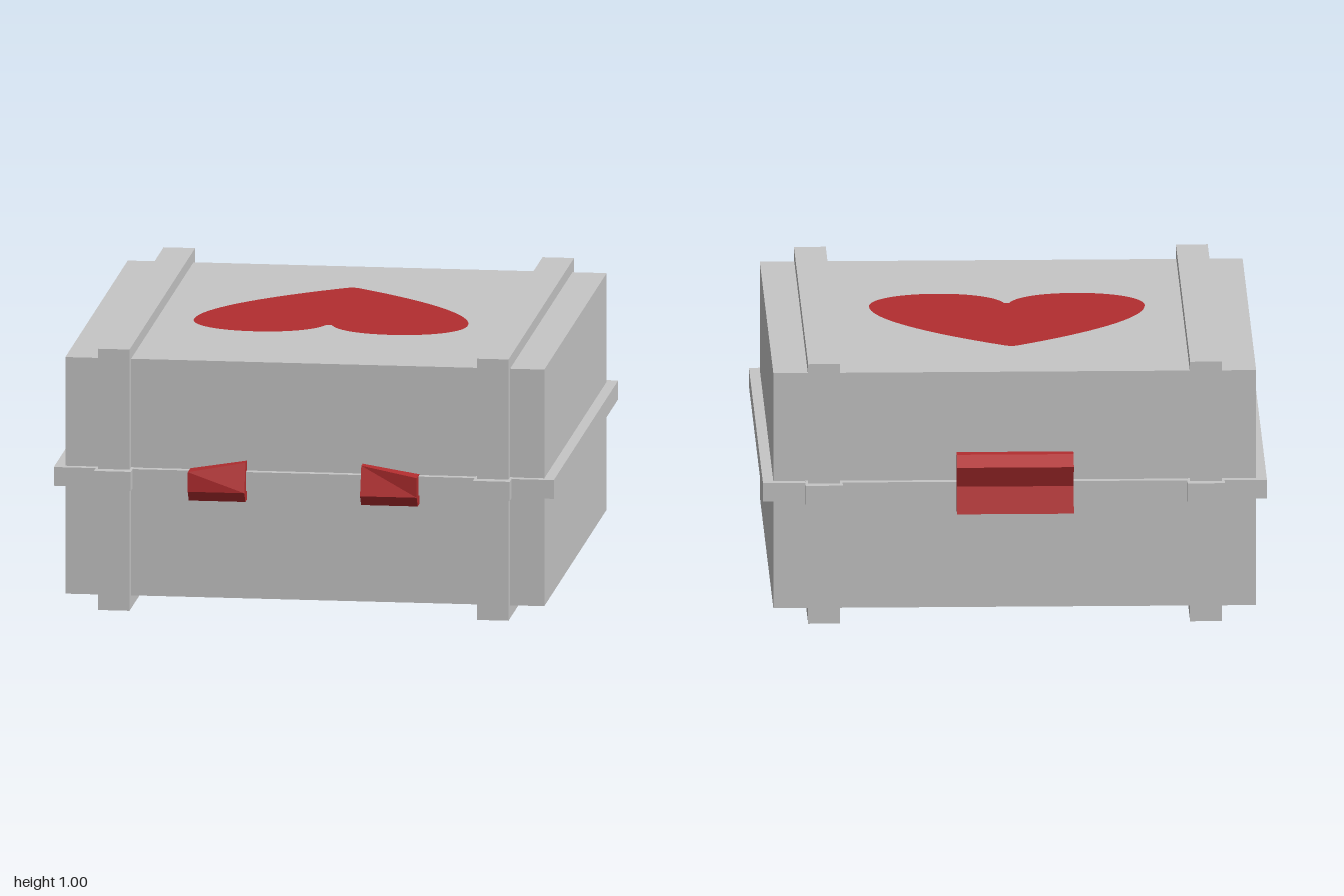
import * as THREE from 'three';

const grey = new THREE.MeshStandardMaterial({ color: 0xc6c6c6 });
grey.name = 'box grey';
const red = new THREE.MeshStandardMaterial({ color: 0xb22d2f });
red.name = 'heart red';

// Box given by its limits on each axis
function block(name, x0, x1, y0, y1, z0, z1) {
  const mesh = new THREE.Mesh(new THREE.BoxGeometry(x1 - x0, y1 - y0, z1 - z0), grey);
  mesh.position.set((x0 + x1) / 2, (y0 + y1) / 2, (z0 + z1) / 2);
  mesh.name = name;
  return mesh;
}

// Flat-faced solid between two [z, y] sections at x0 < x1
function loft(name, x0, secA, x1, secB) {
  const a = secA.map(([z, y]) => [x0, y, z]);
  const b = secB.map(([z, y]) => [x1, y, z]);
  const n = a.length, pos = [];
  const tri = (...pts) => pts.forEach((p) => pos.push(...p));
  for (let i = 0; i < n; i++) {
    const j = (i + 1) % n;
    tri(a[i], a[j], b[j]);
    tri(a[i], b[j], b[i]);
  }
  for (let i = 1; i < n - 1; i++) {
    tri(b[0], b[i], b[i + 1]);
    tri(a[0], a[i + 1], a[i]);
  }
  const geo = new THREE.BufferGeometry();
  geo.setAttribute('position', new THREE.Float32BufferAttribute(pos, 3));
  geo.computeVertexNormals();
  const mesh = new THREE.Mesh(geo, red);
  mesh.name = name;
  return mesh;
}

export function createModel() {
  const model = new THREE.Group();
  model.name = 'heartBox';

  // Body and the rim around its middle
  model.add(block('body', -0.91, 0.91, 0.05, 0.96, -0.91, 0.91));
  model.add(block('rim', -0.95, 0.95, 0.47, 0.542, -0.94, 0.94));

  // Straps around the box, each with a thicker band at the rim
  for (const s of [-1, 1]) {
    const side = s > 0 ? 'left' : 'right';
    const x = 0.72 * s;
    model.add(block(side + 'Strap', x - 0.06, x + 0.06, 0, 1.005, -0.957, 0.957));
    model.add(block(side + 'StrapBand', x - 0.07, x + 0.07, 0.469, 0.543, -0.995, 0.998));
  }

  // Front clasps, higher and leaning back at their inner ends
  const outer = [[0.9, 0.545], [0.985, 0.545], [0.987, 0.47], [0.955, 0.43], [0.9, 0.43]];
  const inner = [[0.9, 0.58], [0.95, 0.58], [0.987, 0.47], [0.955, 0.43], [0.9, 0.43]];
  model.add(loft('rightClasp', -0.435, outer, -0.22, inner));
  model.add(loft('leftClasp', 0.22, inner, 0.435, outer));

  // Back hinge with a hollowed face
  const hinge = [[0.9, 0.65], [0.955, 0.65], [1, 0.61], [0.97, 0.53], [1, 0.43], [0.9, 0.43]];
  const back = loft('hinge', -0.22, hinge, 0.22, hinge);
  back.rotation.y = Math.PI;
  model.add(back);

  // Heart on the lid, pointing to the back
  const h = new THREE.Shape();
  h.moveTo(0.01, -0.2);
  h.bezierCurveTo(0.04, -0.3, 0.14, -0.355, 0.26, -0.355);
  h.bezierCurveTo(0.41, -0.355, 0.52, -0.27, 0.52, -0.15);
  h.bezierCurveTo(0.52, 0.05, 0.32, 0.28, 0.03, 0.49);
  h.quadraticCurveTo(0, 0.515, -0.03, 0.49);
  h.bezierCurveTo(-0.32, 0.28, -0.52, 0.05, -0.52, -0.15);
  h.bezierCurveTo(-0.52, -0.27, -0.41, -0.355, -0.26, -0.355);
  h.bezierCurveTo(-0.14, -0.355, -0.04, -0.3, -0.01, -0.2);
  const heart = new THREE.Mesh(new THREE.ShapeGeometry(h, 20), red);
  heart.rotation.x = -Math.PI / 2;
  heart.position.y = 0.963;
  heart.name = 'heart';
  model.add(heart);

  return model;
}
